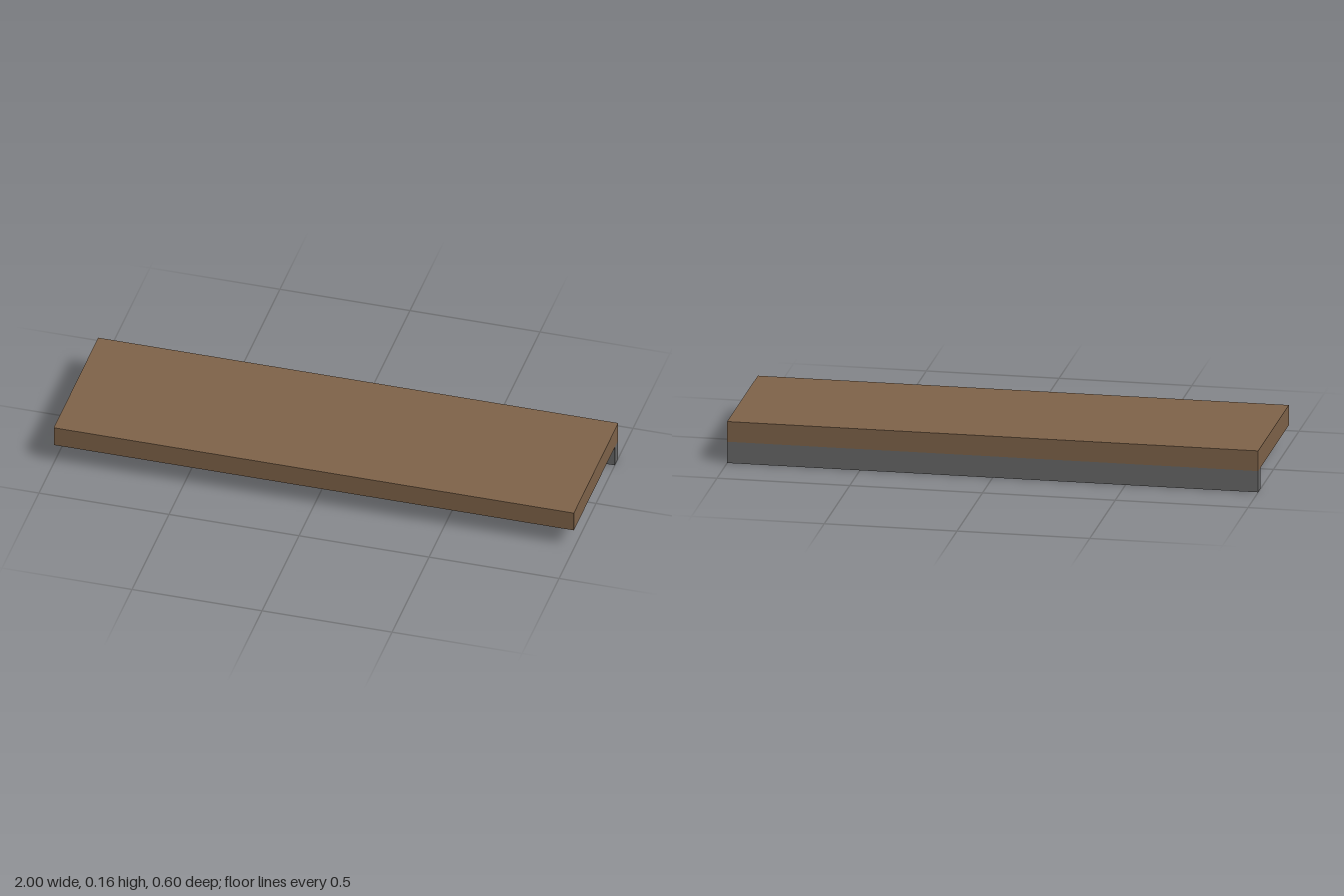
import * as THREE from 'three';

const WIDTH = 2;
const DEPTH = 0.6;
const HEIGHT = 0.16;
const RAIL_HEIGHT = 0.082;
const RAIL_DEPTH = 0.046;

// Box given by its size, its base height and its centre in z
function addBox(group, name, [w, h, d], baseY, z, color) {
  const mesh = new THREE.Mesh(
    new THREE.BoxGeometry(w, h, d),
    new THREE.MeshStandardMaterial({ color })
  );
  mesh.name = name;
  mesh.position.set(0, baseY + h / 2, z);
  group.add(mesh);
}

export function createModel() {
  const group = new THREE.Group();
  group.name = 'shelf';

  // Wooden board
  addBox(group, 'shelfBoard', [WIDTH, HEIGHT - RAIL_HEIGHT, DEPTH], RAIL_HEIGHT, 0, 0x80644a);

  // Mounting rail under the back edge
  addBox(group, 'mountingRail', [WIDTH, RAIL_HEIGHT, RAIL_DEPTH], 0, (RAIL_DEPTH - DEPTH) / 2, 0x696969);

  return group;
}
